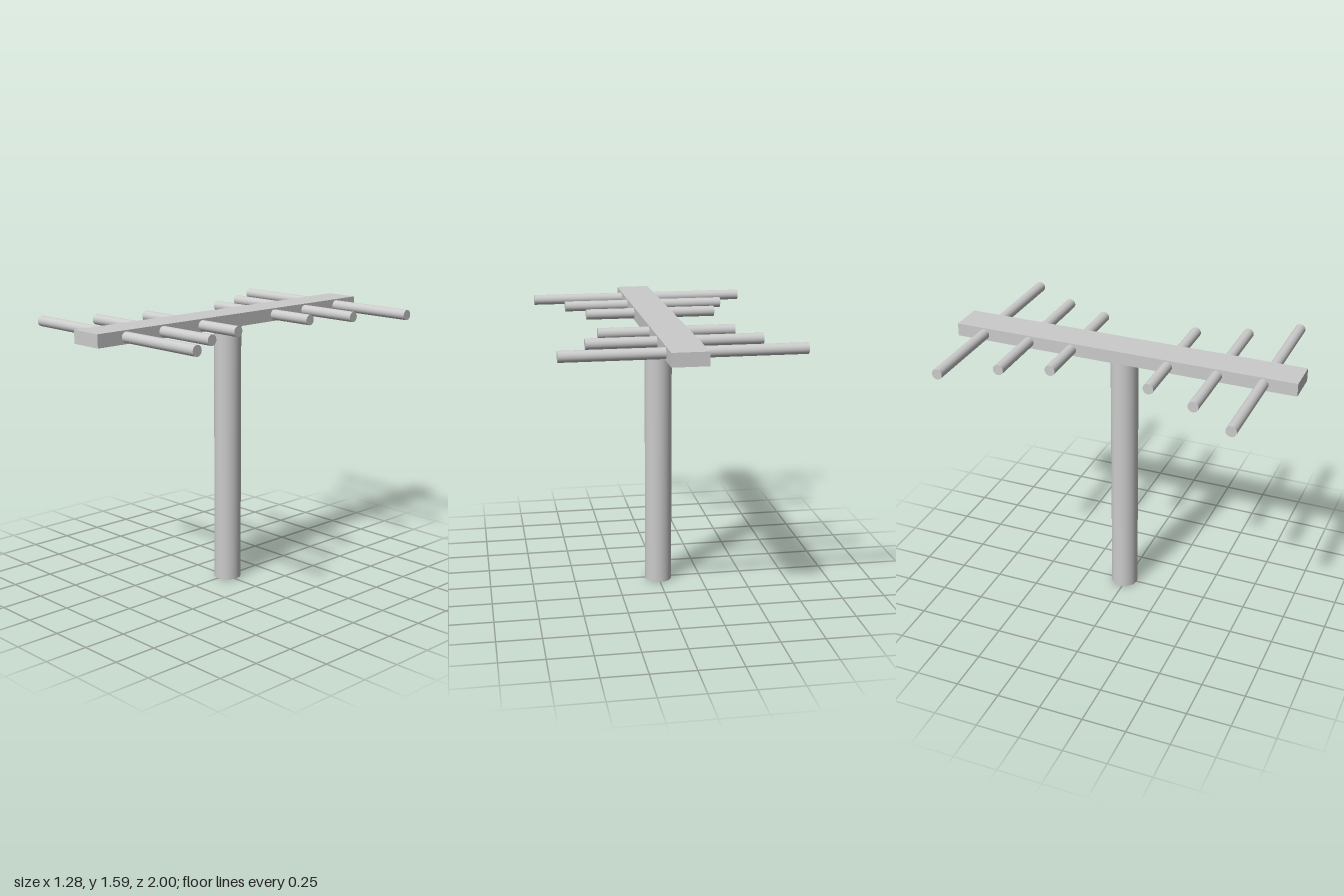
import * as THREE from 'three';

export function createModel() {
  const model = new THREE.Group();
  const material = new THREE.MeshStandardMaterial({ color: 0xcccccc });
  const add = (name, geometry, x, y, z) => {
    const mesh = new THREE.Mesh(geometry, material);
    mesh.name = name;
    mesh.position.set(x, y, z);
    model.add(mesh);
    return mesh;
  };

  const mastTop = 1.52, boomHeight = 0.074;
  const rodY = mastTop + boomHeight / 2;

  // Upright mast, set slightly behind the middle of the boom
  add('mast', new THREE.CylinderGeometry(0.078, 0.078, mastTop, 48), 0, mastTop / 2, -0.013);

  // Long boom lying front to back on the mast
  add('boom', new THREE.BoxGeometry(0.196, boomHeight, 2), 0, rodY, 0);

  // Cross rods through the boom, longer towards both ends: [z, length]
  const rods = [
    [0.812, 1.285], [0.555, 0.95], [0.272, 0.756],
    [-0.294, 0.756], [-0.554, 0.95], [-0.832, 1.285],
  ];
  rods.forEach(([z, length], i) => {
    const rod = add(`crossRod${i + 1}`, new THREE.CylinderGeometry(0.03, 0.03, length, 32), 0, rodY, z);
    rod.rotation.z = Math.PI / 2;
  });

  return model;
}
